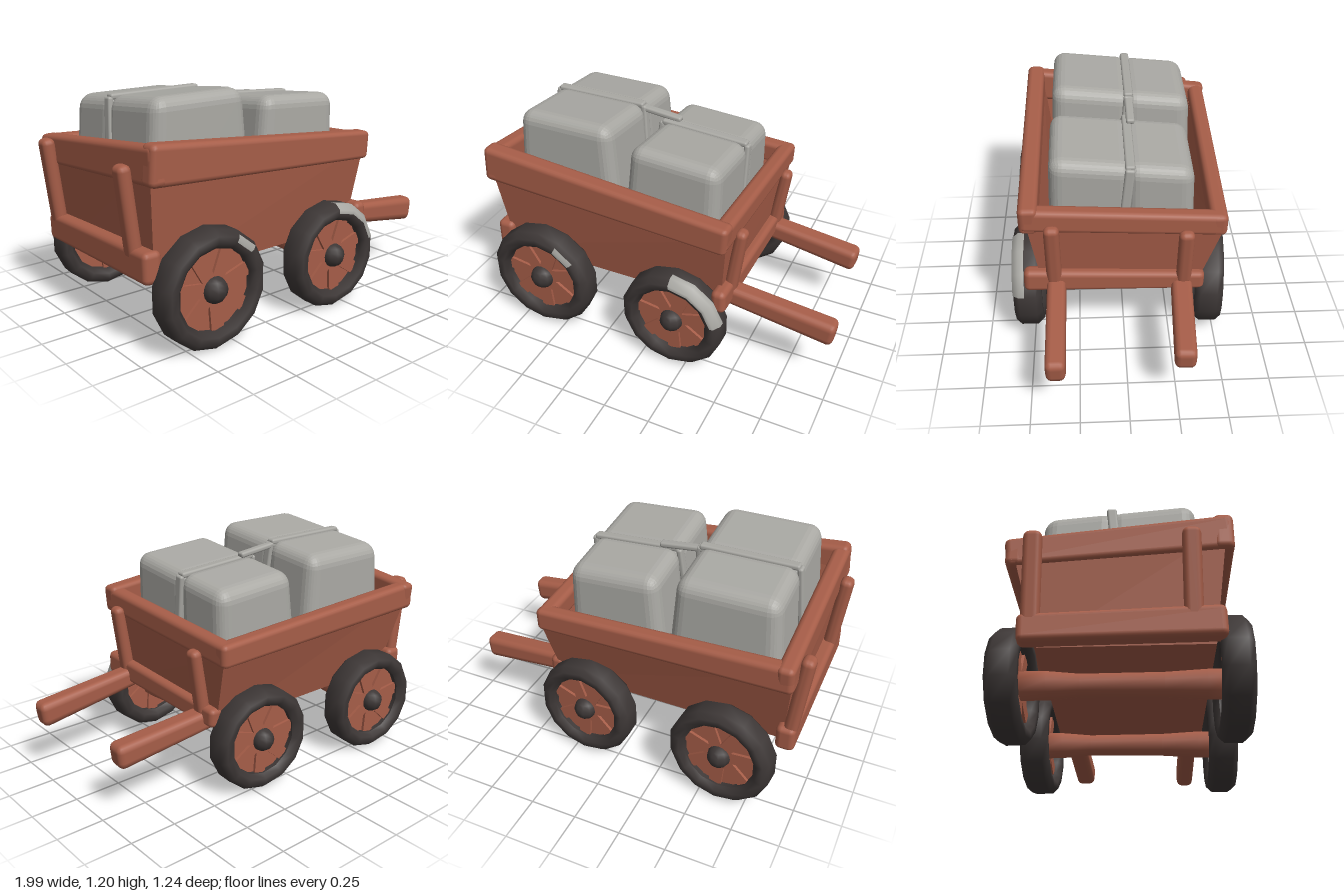
import * as THREE from 'three';
import { RoundedBoxGeometry } from 'three/addons/geometries/RoundedBoxGeometry.js';

const V = (x, y, z) => new THREE.Vector3(x, y, z);

export function createModel() {
  const model = new THREE.Group();
  const mat = (name, color, side = THREE.FrontSide) => {
    const m = new THREE.MeshStandardMaterial({ color, side });
    m.name = name;
    return m;
  };
  const wood = mat('redwood', 0xa65d48);
  const rubber = mat('darkRubber', 0x3d3736);
  const cloth = mat('greyCloth', 0xa9a8a3, THREE.DoubleSide);

  const add = (name, geo, material, parent = model) => {
    const mesh = new THREE.Mesh(geo, material);
    mesh.name = name;
    parent.add(mesh);
    return mesh;
  };

  // Rounded bar from a to b, w wide, its height going from h0 to h1
  const beam = (name, a, b, [h0, h1], w, material = wood, parent = model, r = 0.03) => {
    const dir = b.clone().sub(a);
    const len = dir.length();
    dir.normalize();
    const up = Math.abs(dir.y) > 0.8 ? V(1, 0, 0) : V(0, 1, 0);
    const side = dir.clone().cross(up).normalize();
    const geo = new RoundedBoxGeometry(len, h0, w, 2, r);
    const p = geo.attributes.position;
    for (let i = 0; i < p.count; i++) {
      p.setY(i, p.getY(i) * THREE.MathUtils.lerp(1, h1 / h0, p.getX(i) / len + 0.5));
    }
    const mesh = add(name, geo, material, parent);
    mesh.quaternion.setFromRotationMatrix(
      new THREE.Matrix4().makeBasis(dir, side.clone().cross(dir), side));
    mesh.position.copy(a).add(b).multiplyScalar(0.5);
  };

  // Open hopper body: four corner rings joined by flat faces
  const ring = (x0, x1, z0, z1, ys) =>
    [V(x0, ys[0], z1), V(x1, ys[1], z1), V(x1, ys[2], z0), V(x0, ys[3], z0)];
  const rings = [
    ring(-0.87, 0.39, -0.38, 0.43, [0.36, 0.37, 0.36, 0.35]),
    ring(-0.92, 0.44, -0.51, 0.5, [0.95, 0.84, 0.79, 0.84]),
    ring(-0.86, 0.38, -0.45, 0.44, [0.95, 0.84, 0.79, 0.84]),
    ring(-0.82, 0.34, -0.35, 0.38, [0.47, 0.47, 0.46, 0.46]),
  ];
  const pts = [];
  const quad = (a, b, c, d) => pts.push(a, b, c, a, c, d);
  for (let k = 0; k < 3; k++) {
    for (let i = 0; i < 4; i++) {
      const j = (i + 1) % 4;
      quad(rings[k][i], rings[k][j], rings[k + 1][j], rings[k + 1][i]);
    }
  }
  quad(...rings[3]);
  quad(...[...rings[0]].reverse());
  const hopper = new THREE.BufferGeometry().setFromPoints(pts);
  hopper.computeVertexNormals();
  add('hopperBody', hopper, wood);

  // Top rails
  beam('leftRail', V(-0.93, 0.938, 0.485), V(0.45, 0.838, 0.485), [0.2, 0.15], 0.1);
  beam('rightRail', V(-0.93, 0.835, -0.5), V(0.45, 0.785, -0.475), [0.15, 0.12], 0.09);
  beam('frontRail', V(0.405, 0.843, 0.53), V(0.405, 0.785, -0.515), [0.13, 0.12], 0.09);
  beam('rearRail', V(-0.885, 0.935, 0.53), V(-0.885, 0.83, -0.545), [0.19, 0.15], 0.09);

  // Lower cross beams and upright posts
  beam('frontSill', V(0.41, 0.455, 0.53), V(0.41, 0.425, -0.42), [0.13, 0.1], 0.08);
  beam('rearSill', V(-0.9, 0.45, 0.48), V(-0.9, 0.42, -0.47), [0.16, 0.14], 0.1);
  beam('frontPost', V(0.42, 0.44, 0.37), V(0.475, 0.83, 0.37), [0.07, 0.06], 0.08);
  beam('frontPost', V(0.42, 0.42, -0.31), V(0.475, 0.78, -0.31), [0.07, 0.06], 0.08);
  beam('rearPost', V(-0.91, 0.44, 0.33), V(-0.965, 0.92, 0.33), [0.07, 0.07], 0.09);
  beam('rearPost', V(-0.91, 0.42, -0.41), V(-0.965, 0.91, -0.41), [0.07, 0.07], 0.09);

  // Pull handles, heavier towards the grip
  beam('leftHandle', V(0.25, 0.435, 0.36), V(0.99, 0.34, 0.36), [0.1, 0.14], 0.1);
  beam('rightHandle', V(0.25, 0.41, -0.31), V(0.93, 0.335, -0.275), [0.1, 0.13], 0.11);

  // Axles: waisted bars under the floor
  for (const [x, y] of [[-0.61, 0.28], [0.18, 0.27]]) {
    const profile = [[0, -0.5], [0.075, -0.5], [0.075, -0.36], [0.06, -0.2],
      [0.065, 0.2], [0.078, 0.4], [0.078, 0.52], [0, 0.52]].map(p => new THREE.Vector2(...p));
    const axle = add('axle', new THREE.LatheGeometry(profile, 8), wood);
    axle.rotation.x = Math.PI / 2;
    axle.position.set(x, y, 0);
  }

  // Wheels: tyre, dished centre, spokes, hub and worn patches on the tyre
  const SIDES = 14;
  const lathe = (points, start = 0, count = SIDES) => {
    const step = Math.PI * 2 / SIDES;
    return new THREE.LatheGeometry(points.map(p => new THREE.Vector2(...p)),
      count, start * step, count * step).rotateX(Math.PI / 2);
  };
  const tyreProfile = [[0.2, -0.05], [0.225, -0.075], [0.26, -0.076], [0.288, -0.045],
    [0.288, 0.045], [0.26, 0.076], [0.225, 0.075], [0.2, 0.05], [0.2, -0.05]];
  const wheel = (name, x, y, z, turn, patch) => {
    const g = new THREE.Group();
    g.name = name;
    g.position.set(x, y, z);
    g.rotation.y = turn;
    g.scale.set(y / 0.288, y / 0.288, 1);
    add('tyre', lathe(tyreProfile), rubber, g);
    add('wheelDisc', new THREE.CylinderGeometry(0.21, 0.21, 0.05, SIDES).rotateX(Math.PI / 2), wood, g);
    for (let i = 0; i < 7; i++) {
      const a = (i / 7) * Math.PI * 2 + 0.3;
      const spoke = add('spoke', new THREE.BoxGeometry(0.16, 0.07, 0.08), wood, g);
      spoke.position.set(Math.cos(a) * 0.13, Math.sin(a) * 0.13, 0);
      spoke.rotation.z = a;
    }
    const hub = add('hub', new THREE.SphereGeometry(0.065, 10, 8), rubber, g);
    hub.position.z = Math.sign(z) * 0.035;
    if (patch) {
      add('wornPatch', lathe(patch.profile, patch.start, patch.count), cloth, g);
    }
    model.add(g);
  };
  wheel('rearLeftWheel', -0.62, 0.302, 0.522, 0,
    { profile: [[0.272, 0.07], [0.252, 0.08], [0.235, 0.079]], start: 5, count: 1 });
  wheel('frontLeftWheel', 0.17, 0.284, 0.52, 0,
    { profile: [[0.291, 0.015], [0.291, 0.047], [0.262, 0.08], [0.242, 0.08]], start: 4, count: 3 });
  wheel('rearRightWheel', -0.605, 0.28, -0.522, -0.08);
  wheel('frontRightWheel', 0.185, 0.276, -0.472, -0.08);

  // Cloth bundles: two soft blocks each, pulled together by a strap
  const bundle = (name, pos, [w, h, d], taper, tiltZ) => {
    const g = new THREE.Group();
    g.name = name;
    g.position.copy(pos);
    g.rotation.z = tiltZ;
    const split = -0.04;
    for (const [z0, z1] of [[-d / 2, split + 0.02], [split - 0.02, d / 2]]) {
      const geo = new RoundedBoxGeometry(w, h, z1 - z0, 3, 0.07);
      geo.translate(0, 0, (z0 + z1) / 2);
      const p = geo.attributes.position;
      for (let i = 0; i < p.count; i++) {
        const y = p.getY(i), z = p.getZ(i);
        p.setXYZ(i, p.getX(i) * (1 - taper * y / h), y + z * 0.1,
          split + (z - split) * (1 - 0.05 * y / h));
      }
      geo.computeVertexNormals();
      add('block', geo, cloth, g);
    }
    // Strap over the top and down both ends
    const t = w * (0.495 - taper / 4), b = w * (0.495 + taper / 4), y = h / 2 - 0.01;
    beam('strapTop', V(-t, y, split), V(t, y, split), [0.03, 0.03], 0.05, cloth, g, 0.012);
    for (const k of [-1, 1]) {
      beam('strapEnd', V(k * t, y, split), V(k * b, -y, split + 0.06), [0.03, 0.03], 0.05, cloth, g, 0.012);
    }
    model.add(g);
  };
  bundle('rearBundle', V(-0.53, 0.825, -0.01), [0.58, 0.68, 0.77], 0.18, 0);
  bundle('frontBundle', V(0.075, 0.785, 0.01), [0.52, 0.62, 0.75], 0.12, -0.06);
  beam('linkStrap', V(-0.34, 1.145, -0.05), V(-0.05, 1.115, -0.05), [0.03, 0.03], 0.045, cloth, model, 0.012);

  return model;
}
